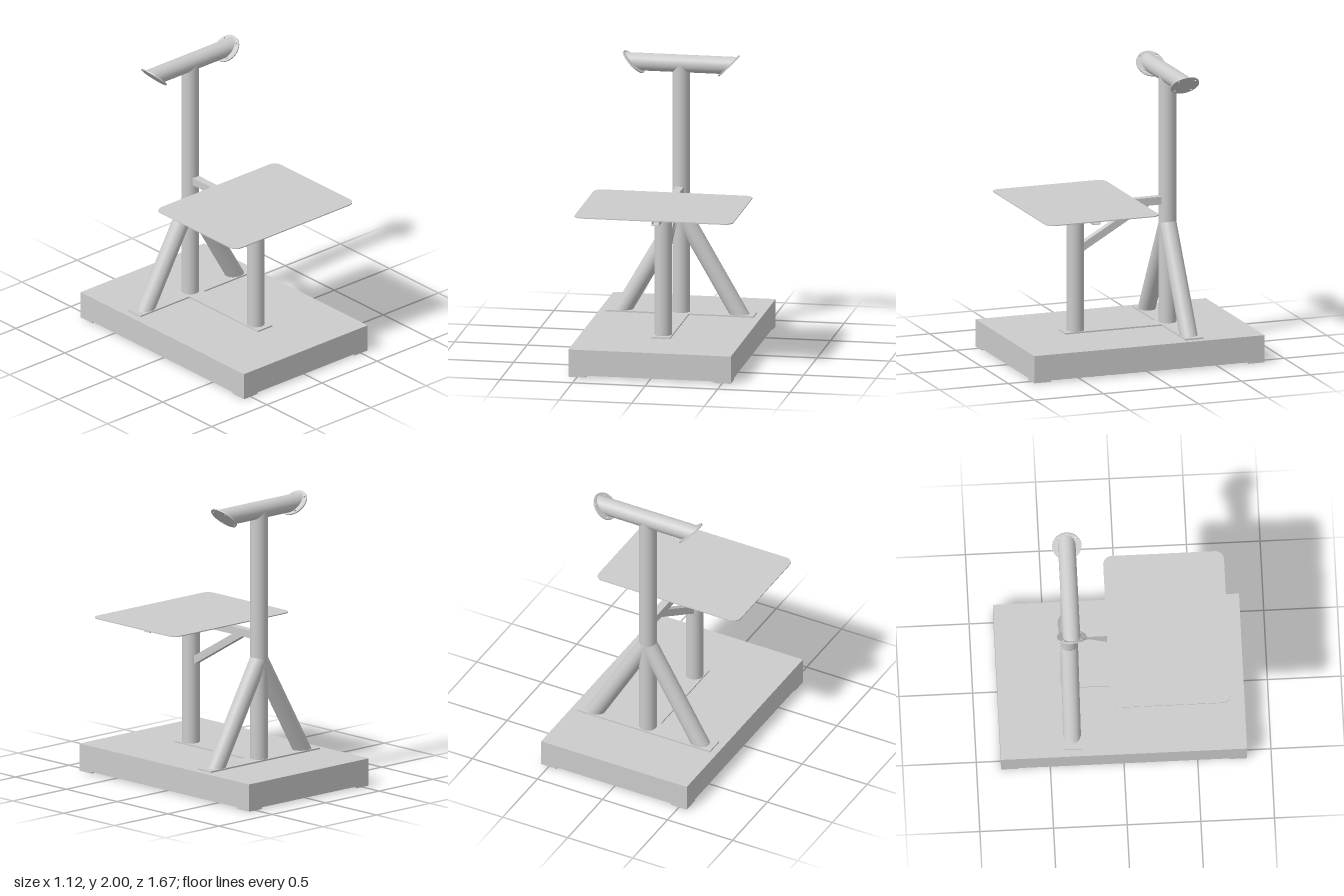
import * as THREE from 'three';

const mat = new THREE.MeshStandardMaterial({ color: 0xcccccc, side: THREE.DoubleSide });
const R = 0.06;        // pipe radius
const COL_Z = -0.345;  // main column
const POST_Z = 0.325;  // front post
const BAR_Y = 1.928;   // top bar axis

export function createModel() {
  const model = new THREE.Group();

  const add = (name, geo, x = 0, y = 0, z = 0) => {
    const m = new THREE.Mesh(geo, mat);
    m.name = name;
    m.position.set(x, y, z);
    model.add(m);
    return m;
  };
  const box = (name, w, h, d, x, y, z) => add(name, new THREE.BoxGeometry(w, h, d), x, y, z);
  const pipe = (name, y0, y1, z) =>
    add(name, new THREE.CylinderGeometry(R, R, y1 - y0, 48), 0, (y0 + y1) / 2, z);
  const rect = (S, w, h) => new S([
    new THREE.Vector2(-w / 2, -h / 2), new THREE.Vector2(w / 2, -h / 2),
    new THREE.Vector2(w / 2, h / 2), new THREE.Vector2(-w / 2, h / 2)]);
  const extrude = (shape, depth) =>
    new THREE.ExtrudeGeometry(shape, { depth, bevelEnabled: false, curveSegments: 16 });
  // hollow rectangular frame or tube, running along +z
  const hollow = (w, h, wall, depth) => {
    const s = rect(THREE.Shape, w, h);
    s.holes.push(rect(THREE.Path, w - 2 * wall, h - 2 * wall));
    return extrude(s, depth);
  };

  // Hollow base with corner feet
  const walls = hollow(1.12, 1.67, 0.04, 0.163);
  walls.rotateX(-Math.PI / 2);
  add('baseWalls', walls, 0, 0.012, 0);
  box('baseTop', 1.12, 0.015, 1.67, 0, 0.1825, 0);
  for (const sx of [-1, 1]) for (const sz of [-1, 1])
    box('foot', 0.12, 0.012, 0.12, sx * 0.5, 0.006, sz * 0.775);

  // T-shaped floor plate
  box('crossFloorPlate', 1.02, 0.01, 0.13, 0, 0.195, COL_Z);
  box('longFloorPlate', 0.13, 0.01, 0.7, 0, 0.195, 0.07);

  // Main column and front post
  pipe('column', 0.2, BAR_Y, COL_Z);
  pipe('frontPost', 0.2, 1.027, POST_Z);

  // Slotted upper end of the front post, four arcs between the tubes
  const slot = Math.asin(0.027 / R);
  for (let i = 0; i < 4; i++)
    add('postTopArc', new THREE.CylinderGeometry(R, R, 0.053, 10, 1, true,
      i * Math.PI / 2 + slot, Math.PI / 2 - 2 * slot), 0, 1.0535, POST_Z);

  // Slanted side legs, cut level at the foot and mitred on the column axis
  const tan = Math.tan(Math.PI / 6), footX = 0.4;
  for (const s of [-1, 1]) {
    const g = new THREE.CylinderGeometry(R, R, 1, 48, 1, true);
    const p = g.attributes.position;
    for (let i = 0; i < p.count; i++) {
      const across = p.getX(i) / Math.cos(Math.PI / 6); // level width of the slanted pipe
      const foot = footX + s * across;
      if (p.getY(i) < 0) p.setXYZ(i, s * foot, 0.2, p.getZ(i));
      else p.setXYZ(i, 0, 0.2 + foot / tan, p.getZ(i));
    }
    g.computeVertexNormals();
    // match normals across the seam
    const n = g.attributes.normal;
    for (let i = 0; i < p.count; i++) {
      const a = (i % 49) / 48 * Math.PI * 2;
      n.setXYZ(i, Math.sin(a) * Math.cos(Math.PI / 6), s * Math.sin(a) * 0.5, Math.cos(a));
    }
    add('sideLeg', g, 0, 0, COL_Z);
  }

  // Square tubes under the table
  const T = 0.054, tubeY = 1.054;
  const cross = hollow(T, T, 0.004, 0.82);
  cross.translate(0, 0, -0.41);
  cross.rotateY(Math.PI / 2);
  add('crossTube', cross, 0, tubeY, POST_Z);
  add('frontTube', hollow(T, T, 0.004, 0.273), 0, tubeY, POST_Z + T / 2);
  add('rearTube', hollow(T, T, 0.004, 0.593), 0, tubeY, -0.295);

  // Diagonal brace; its outline is drawn in (-z, y)
  const brace = extrude(new THREE.Shape([
    new THREE.Vector2(-0.275, 0.75), new THREE.Vector2(0.21, 1.03),
    new THREE.Vector2(0.11, 1.03), new THREE.Vector2(-0.275, 0.808)]), 0.05);
  brace.translate(0, 0, -0.025);
  brace.rotateY(Math.PI / 2);
  add('brace', brace);

  // Table top with rounded corners
  const w = 0.547, h = 0.41, r = 0.06;
  const top = new THREE.Shape();
  top.absarc(w - r, h - r, r, 0, Math.PI / 2);
  top.absarc(-w + r, h - r, r, Math.PI / 2, Math.PI);
  top.absarc(-w + r, -h + r, r, Math.PI, Math.PI * 1.5);
  top.absarc(w - r, -h + r, r, Math.PI * 1.5, Math.PI * 2);
  const table = extrude(top, 0.007);
  table.rotateX(-Math.PI / 2);
  add('tableTop', table, 0, 1.081, 0.32);

  // Top bar with ends cut at 45 degrees
  const bar = new THREE.CylinderGeometry(R, R, 2, 48, 1, true);
  bar.rotateZ(Math.PI / 2);
  const bp = bar.attributes.position;
  for (let i = 0; i < bp.count; i++)
    bp.setX(i, Math.sign(bp.getX(i)) * (0.325 + bp.getY(i)));
  add('topBar', bar, 0, BAR_Y, COL_Z);

  // Round end flanges with four bolt holes
  for (const s of [-1, 1]) {
    const disc = new THREE.Shape();
    disc.absarc(0, 0, 0.1, 0, Math.PI * 2);
    for (let i = 0; i < 4; i++) {
      const a = Math.PI / 4 + i * Math.PI / 2;
      const hole = new THREE.Path();
      hole.absarc(0.084 * Math.cos(a), 0.084 * Math.sin(a), 0.007, 0, Math.PI * 2, true);
      disc.holes.push(hole);
    }
    const g = new THREE.ExtrudeGeometry(disc, { depth: 0.009, bevelEnabled: false, curveSegments: 32 });
    const flange = add('endFlange', g, s * 0.325, BAR_Y, COL_Z);
    flange.quaternion.setFromUnitVectors(
      new THREE.Vector3(0, 0, 1), new THREE.Vector3(s, -1, 0).normalize());
    // turn the bolt circle so the holes sit on the diagonals
    flange.rotateZ(s * Math.PI / 4);
  }

  return model;
}
